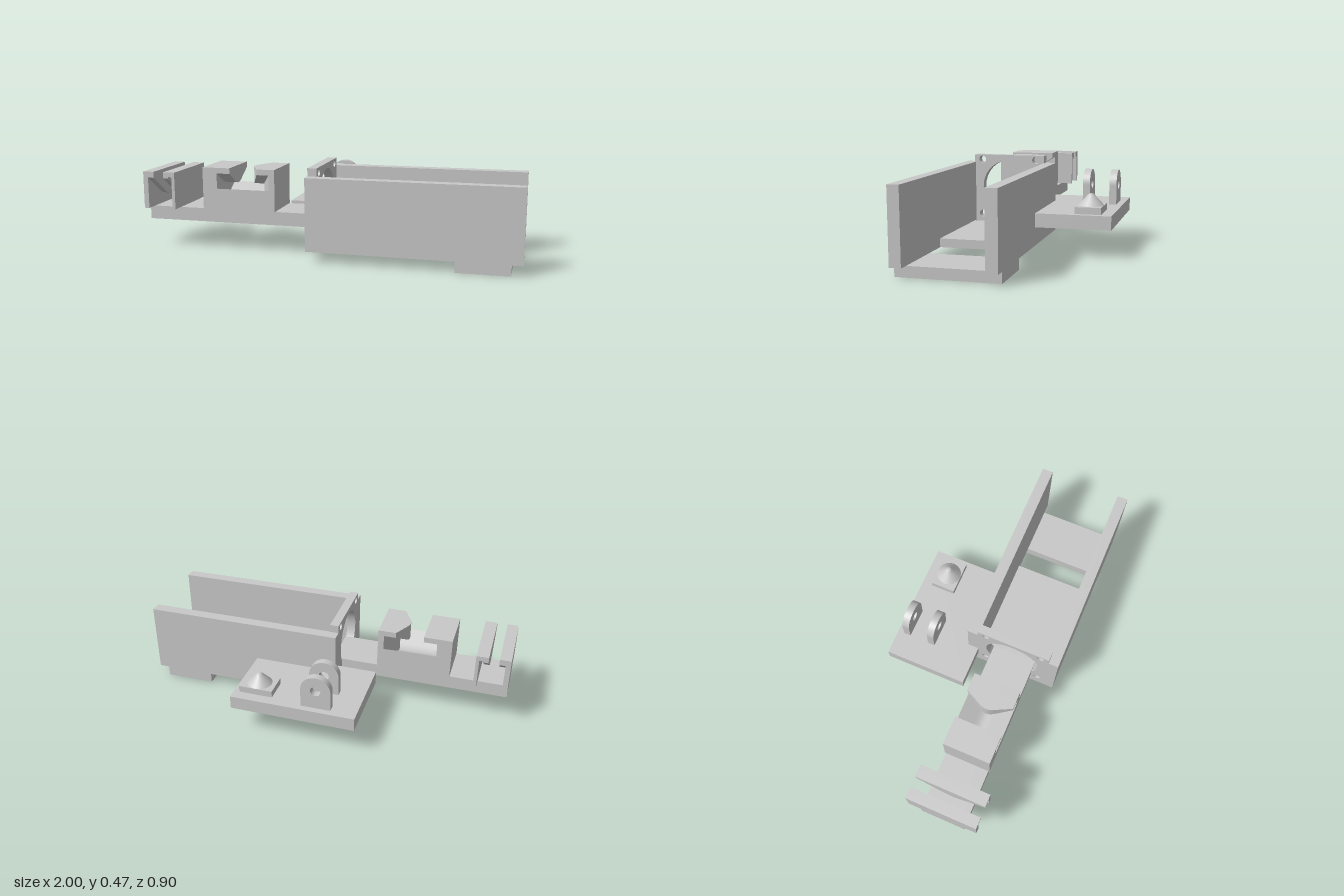
import * as THREE from 'three';

const grey = new THREE.MeshStandardMaterial({ color: 0xc8c8c8 });
grey.name = 'light grey';

function add(group, name, geometry) {
  const mesh = new THREE.Mesh(geometry, grey);
  mesh.name = name;
  group.add(mesh);
  return mesh;
}

// Box given by its limits
function box(group, name, x0, x1, y0, y1, z0, z1) {
  const g = new THREE.BoxGeometry(x1 - x0, y1 - y0, z1 - z0);
  g.translate((x0 + x1) / 2, (y0 + y1) / 2, (z0 + z1) / 2);
  return add(group, name, g);
}

// Straight flanks with a rounded tip: 1 at t = 0, falling to 0 at t = 1
const ROUND = 0.3;
function bend(t) {
  const drop = t < ROUND ? (t * t) / (2 * ROUND) : t - ROUND / 2;
  return 1 - drop / (1 - ROUND / 2);
}

// Box bent around the middle of its depth: its left, bottom and top sides can shift there
function bentBox(group, name, x0, x1, y0, y1, z0, z1, { left = 0, bottom = 0, top = 0 }) {
  const g = new THREE.BoxGeometry(x1 - x0, y1 - y0, z1 - z0, 1, 1, 20);
  const p = g.attributes.position;
  for (let i = 0; i < p.count; i++) {
    const b = bend(Math.abs(p.getZ(i)) * 2 / (z1 - z0));
    if (p.getX(i) < 0) p.setX(i, p.getX(i) + left * b);
    p.setY(i, p.getY(i) + (p.getY(i) < 0 ? bottom : top) * b);
  }
  g.computeVertexNormals();
  g.translate((x0 + x1) / 2, (y0 + y1) / 2, (z0 + z1) / 2);
  return add(group, name, g);
}

function hole(shape, x, y, r) {
  const path = new THREE.Path();
  path.absarc(x, y, r, 0, Math.PI * 2, true);
  shape.holes.push(path);
}

export function createModel() {
  const model = new THREE.Group();
  model.name = 'mechanicalHousing';

  // Open channel: two walls, floor and full-width foot
  for (const [z0, z1] of [[0.393, 0.452], [-0.062, -0.002]])
    box(model, 'channelWall', -0.08, 1, 0.055, 0.433, z0, z1);
  box(model, 'channelFloor', -0.005, 0.53, 0.055, 0.1, -0.002, 0.393);
  box(model, 'channelFoot', 0.675, 0.945, 0, 0.055, -0.062, 0.452);

  // Mounting plate with a large bore and four screw holes (drawn in -z, y)
  const plate = new THREE.Shape();
  plate.moveTo(-0.398, 0.055);
  plate.lineTo(0.005, 0.055);
  plate.lineTo(0.005, 0.475);
  plate.lineTo(-0.398, 0.475);
  hole(plate, -0.197, 0.294, 0.151);
  for (const z of [0.042, 0.352])
    for (const y of [0.139, 0.449]) hole(plate, -z, y, 0.02);
  const plateGeo = new THREE.ExtrudeGeometry(plate, { depth: 0.048, bevelEnabled: false, curveSegments: 32 });
  plateGeo.rotateY(Math.PI / 2);
  plateGeo.translate(-0.08, 0, 0);
  add(model, 'mountingPlate', plateGeo);

  // Long arm, running through the bore
  box(model, 'arm', -1, -0.032, 0.15, 0.222, 0.073, 0.316);

  // Middle block with a bent slot under two lips
  const block = new THREE.Group();
  block.name = 'slottedBlock';
  model.add(block);
  const Z = [0.067, 0.322];
  bentBox(block, 'blockBase', -0.605, -0.315, 0.222, 0.333, ...Z, { top: -0.065 });
  box(block, 'blockLeftSide', -0.685, -0.605, 0.222, 0.445, ...Z);
  box(block, 'blockRightBase', -0.315, -0.283, 0.222, 0.333, ...Z);
  bentBox(block, 'blockRightSide', -0.315, -0.283, 0.222, 0.445, ...Z, { left: -0.065 });
  bentBox(block, 'straightLip', -0.605, -0.532, 0.415, 0.445, ...Z, { bottom: -0.065 });
  bentBox(block, 'pointedLip', -0.38, -0.29, 0.415, 0.445, ...Z, { left: -0.055, bottom: -0.065 });

  // End clamps: thin outer wall, top lip and bent inner tongue
  const clamps = new THREE.Group();
  clamps.name = 'endClamps';
  model.add(clamps);
  const clampParts = [
    { wall: [-1, -0.973], lip: [-1, -0.94], tongue: [-0.973, -0.94] },
    { wall: [-0.837, -0.82], lip: [-0.885, -0.82], tongue: [-0.885, -0.857] },
  ];
  for (const c of clampParts) {
    box(clamps, 'clampWall', ...c.wall, 0.222, 0.42, 0.004, 0.384);
    box(clamps, 'clampLip', ...c.lip, 0.395, 0.42, 0.004, 0.384);
    bentBox(clamps, 'clampTongue', ...c.tongue, 0.388, 0.397, 0.004, 0.384, { bottom: -0.113 });
  }

  // Side shelf
  box(model, 'sideShelf', -0.295, 0.377, 0.15, 0.222, -0.452, -0.002);

  // Rounded pivot ears
  const ear = new THREE.Shape();
  ear.moveTo(-0.08, 0.222);
  ear.lineTo(0.08, 0.222);
  ear.lineTo(0.08, 0.325);
  ear.absarc(0, 0.325, 0.08, 0, Math.PI, false);
  ear.lineTo(-0.08, 0.222);
  hole(ear, 0, 0.325, 0.027);
  const earGeo = new THREE.ExtrudeGeometry(ear, { depth: 0.039, bevelEnabled: false, curveSegments: 24 });
  for (const z of [-0.418, -0.272]) add(model, 'pivotEar', earGeo).position.set(-0.08, 0, z);

  // Cone on a square pad
  box(model, 'conePad', 0.165, 0.347, 0.222, 0.257, -0.395, -0.26);
  const cone = new THREE.LatheGeometry(
    [[0.067, 0.257], [0.016, 0.312], [0.011, 0.316], [0, 0.317]].map(([r, y]) => new THREE.Vector2(r, y)), 32);
  add(model, 'cone', cone).position.set(0.256, 0, -0.328);

  return model;
}
